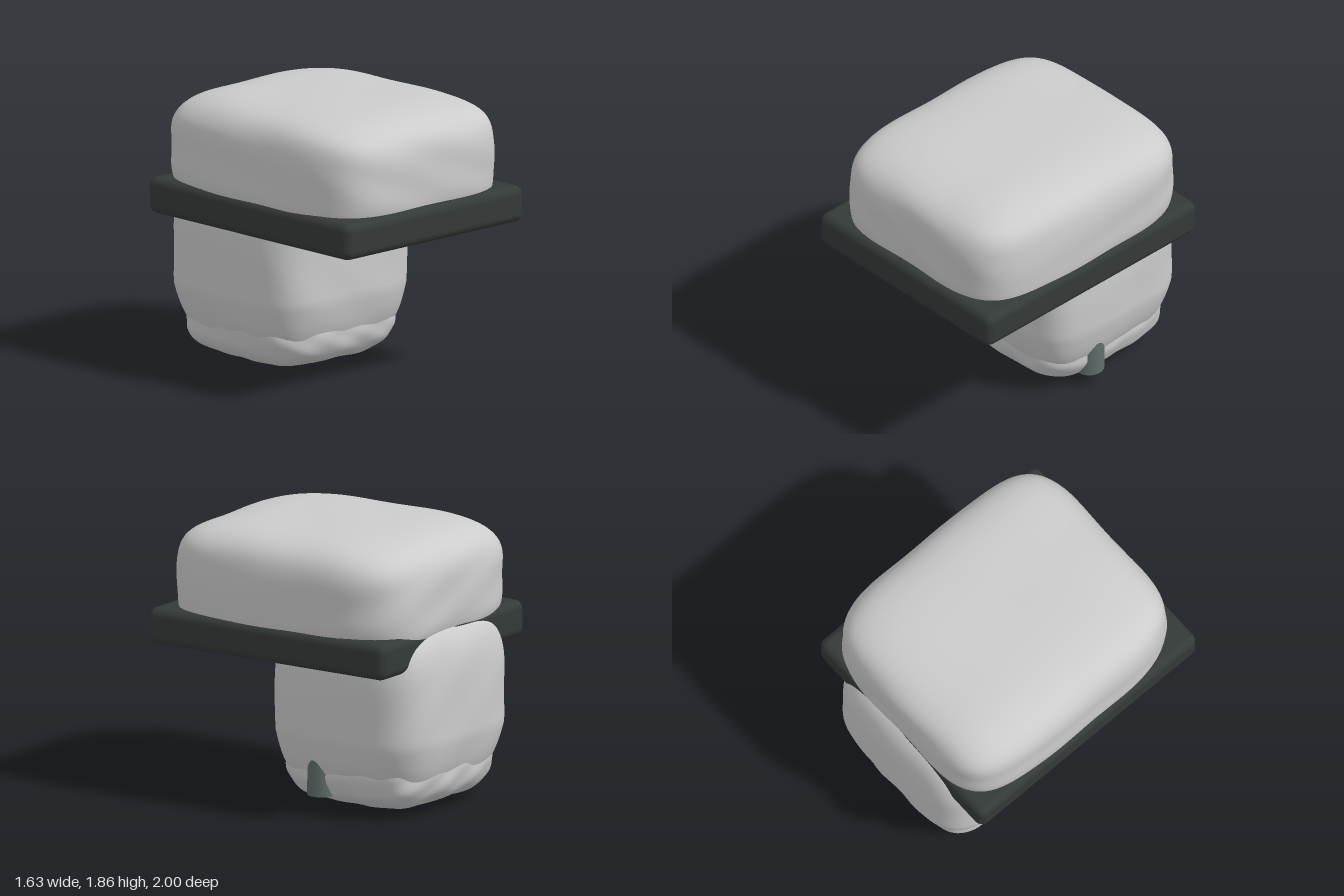
import * as THREE from 'three';
import { mergeVertices } from 'three/addons/utils/BufferGeometryUtils.js';
import { RoundedBoxGeometry } from 'three/addons/geometries/RoundedBoxGeometry.js';

const grey = new THREE.MeshStandardMaterial({ color: 0xcccccc });
const slate = new THREE.MeshStandardMaterial({ color: 0x343a38 });
const green = new THREE.MeshStandardMaterial({ color: 0x5f6e6a });

// Gentle, repeatable unevenness of a worn stone
const lump = (x, y, z, f) =>
  Math.sin(x * f + y * 3.1) * Math.sin(y * f * 0.8 + z * 2.3 + 1) + 0.6 * Math.sin(z * f * 1.3 + x * 4.7 + 2);

// Squared-off stone: plan and side set the squareness, taper narrows the foot
function stone(name, size, centre, plan, side, { taper = 0, rough = 0.006, freq = 7 } = {}) {
  let geo = new THREE.BoxGeometry(2, 2, 2, 36, 36, 36);
  geo.deleteAttribute('normal');
  geo.deleteAttribute('uv');
  geo = mergeVertices(geo);
  const pos = geo.attributes.position;
  const v = new THREE.Vector3();
  for (let i = 0; i < pos.count; i++) {
    v.fromBufferAttribute(pos, i);
    const flat = Math.pow(Math.abs(v.x) ** plan + Math.abs(v.z) ** plan, 1 / plan);
    v.divideScalar(Math.pow(flat ** side + Math.abs(v.y) ** side, 1 / side));
    v.multiplyScalar(1 + rough * lump(v.x, v.y, v.z, freq));
    v.multiply(size);
    const narrow = 1 - taper * Math.max(0, 0.5 - (v.y + centre.y));
    pos.setXYZ(i, v.x * narrow, v.y, v.z * narrow);
  }
  geo.computeVertexNormals();
  const mesh = new THREE.Mesh(geo, grey);
  mesh.name = name;
  mesh.position.copy(centre);
  return mesh;
}

export function createModel() {
  const model = new THREE.Group();
  const V = (x, y, z) => new THREE.Vector3(x, y, z);

  // Upper block, resting in the slab
  model.add(stone('upperBlock', V(0.795, 0.415, 0.935), V(0, 1.44, 0.02), 4.8, 4));

  // Lower block set towards the back, and its rounded foot
  model.add(stone('lowerBlock', V(0.645, 0.64, 0.615), V(0, 0.68, -0.38), 4.5, 4, { taper: 0.26 }));
  model.add(stone('foot', V(0.58, 0.295, 0.555), V(0, 0.3, -0.38), 4.5, 3, { rough: 0.01, freq: 11 }));

  // Dark slab between the blocks
  const slab = new THREE.Mesh(new RoundedBoxGeometry(1.63, 0.245, 1.9, 4, 0.06), slate);
  slab.name = 'slab';
  slab.position.set(0, 1.13, 0.05);
  model.add(slab);

  // Upright peg half sunk into the left side
  const peg = new THREE.Mesh(new THREE.CylinderGeometry(0.1, 0.1, 0.3, 24), green);
  peg.name = 'peg';
  peg.position.set(0.51, 0.25, -0.2);
  model.add(peg);

  return model;
}
